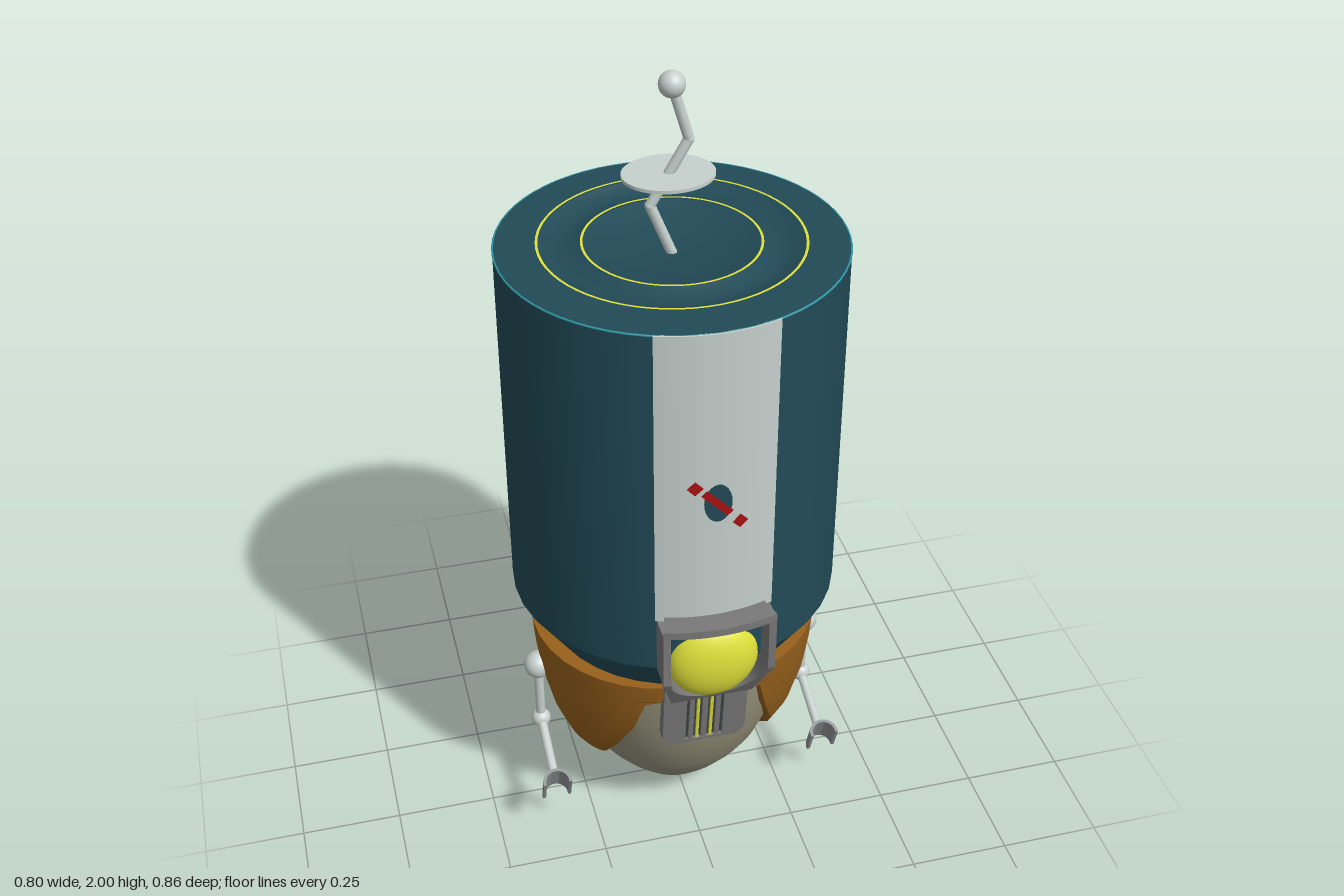
import * as THREE from 'three';
import { toCreasedNormals } from 'three/addons/utils/BufferGeometryUtils.js';

const mat = (name, color, double) => {
  const m = new THREE.MeshStandardMaterial({ color });
  m.name = name;
  if (double) m.side = THREE.DoubleSide;
  return m;
};

export function createModel() {
  const teal = mat('teal', 0x214a56), white = mat('paleGrey', 0xc6d0cd, true);
  const beige = mat('beige', 0x97937c), orange = mat('orange', 0x97611c, true);
  const grey = mat('grey', 0x79797a, true), dark = mat('darkGrey', 0x3c4244);
  const yellow = mat('yellow', 0xdfe03a), red = mat('red', 0xa81212);
  const cyan = mat('cyan', 0x2f9ba8), steel = mat('steel', 0x8c9090, true);

  const root = new THREE.Group();
  const model = new THREE.Group(); // everything sits around the hull axis
  model.name = 'capsule';
  model.position.z = -0.03;
  root.add(model);

  const add = (name, geo, material, x = 0, y = 0, z = 0, parent = model) => {
    const m = new THREE.Mesh(geo, material);
    m.name = name;
    m.position.set(x, y, z);
    parent.add(m);
    return m;
  };
  const lathe = (pts, seg = 36) =>
    toCreasedNormals(new THREE.LatheGeometry(pts.map(p => new THREE.Vector2(...p)), seg), 0.42);
  const ball = (name, r, material, x, y, z, parent) =>
    add(name, new THREE.SphereGeometry(r, 24, 16), material, x, y, z, parent);
  const rod = (name, a, b, r, material, parent) => {
    const A = new THREE.Vector3(...a), B = new THREE.Vector3(...b), d = B.clone().sub(A);
    const m = add(name, new THREE.CylinderGeometry(r, r, d.length(), 12), material, 0, 0, 0, parent);
    m.position.copy(A).add(B).multiplyScalar(0.5);
    m.quaternion.setFromUnitVectors(new THREE.Vector3(0, 1, 0), d.normalize());
  };
  // Curved plate hugging the hull at the front
  const arcBand = (r0, r1, half, y0, y1) => {
    const s = new THREE.Shape(), c = -Math.PI / 2;
    s.absarc(0, 0, r1, c - half, c + half, false);
    s.absarc(0, 0, r0, c + half, c - half, true);
    const g = new THREE.ExtrudeGeometry(s, { depth: y1 - y0, bevelEnabled: false, curveSegments: 12 });
    return toCreasedNormals(g.rotateX(-Math.PI / 2).translate(0, y0, 0), 0.4);
  };

  // Hull with shallow dished top
  add('hull', lathe([[0, 0.56], [0.32, 0.56], [0.4, 0.682], [0.4, 1.593], [0.398, 1.595], [0.3, 1.597],
    [0.275, 1.586], [0.25, 1.582], [0.225, 1.586], [0.2, 1.595], [0.16, 1.582], [0.1, 1.572], [0, 1.568]]), teal);
  add('rimLine', new THREE.TorusGeometry(0.399, 0.0025, 6, 64).rotateX(Math.PI / 2), cyan, 0, 1.593);
  for (const [name, r, y] of [['outerRing', 0.302, 1.601], ['innerRing', 0.202, 1.599]])
    add(name, new THREE.RingGeometry(r - 0.003, r + 0.003, 64).rotateX(-Math.PI / 2), yellow, 0, y);

  // Rounded lower body and nozzle
  add('lowerBody', lathe([[0.07, 0.012], [0.12, 0.05], [0.166, 0.1], [0.205, 0.15], [0.236, 0.2], [0.276, 0.3],
    [0.3, 0.4], [0.313, 0.5], [0.317, 0.57]], 40), beige);
  add('nozzleRing', lathe([[0.045, 0.04], [0.045, 0], [0.066, 0], [0.088, 0.022]], 32), white);
  add('nozzleCore', new THREE.CylinderGeometry(0.046, 0.046, 0.01, 32), teal, 0, 0.02);

  // Side shells: rows of height, body radius, front and back half-angles in degrees
  const rows = [[0.56, 0.316, 73, 65], [0.51, 0.313, 71, 60], [0.495, 0.312, 64, 58], [0.4, 0.3, 58, 48],
    [0.3, 0.276, 47, 38], [0.22, 0.245, 35, 28], [0.16, 0.212, 22, 18], [0.125, 0.188, 8, 7]];
  const shellGeometry = side => {
    const n = 16, pos = [], idx = [];
    const grid = [rows[0], ...rows, rows[rows.length - 1]];
    grid.forEach(([y, r, front, back], j) => {
      const capRow = j === 0 || j === grid.length - 1;
      for (let i = 0; i <= n + 2; i++) {
        const t = THREE.MathUtils.clamp((i - 1) / n, 0, 1) * 2 - 1;
        const a = THREE.MathUtils.degToRad(t > 0 ? t * front : t * back);
        const buried = capRow || i === 0 || i === n + 2;
        const R = buried ? r - 0.02 : r + 0.02 + 0.024 * (1 - t * t);
        pos.push(side * R * Math.cos(a), y, R * Math.sin(a));
      }
    });
    const w = n + 3;
    for (let j = 0; j < grid.length - 1; j++)
      for (let i = 0; i < w - 1; i++) {
        const a = j * w + i, b = a + 1, c = a + w, d = c + 1;
        if (side > 0) idx.push(a, b, c, b, d, c);
        else idx.push(a, c, b, b, c, d);
      }
    const g = new THREE.BufferGeometry();
    g.setAttribute('position', new THREE.Float32BufferAttribute(pos, 3));
    g.setIndex(idx);
    return toCreasedNormals(g, 0.5);
  };

  for (const s of [1, -1]) {
    const side = s > 0 ? 'left' : 'right', x = s * 0.355;
    add(side + 'Shell', shellGeometry(s), orange);
    // Arm with open claw
    const arm = new THREE.Group();
    arm.name = side + 'Arm';
    model.add(arm);
    ball('shoulder', 0.036, white, x, 0.418, 0, arm);
    rod('upperArm', [x, 0.418, 0], [x, 0.233, 0], 0.012, white, arm);
    ball('elbow', 0.025, white, x, 0.233, 0, arm);
    rod('forearm', [x, 0.233, 0], [x, 0.176, 0.16], 0.012, white, arm);
    const claw = new THREE.Group();
    claw.name = 'claw';
    claw.position.set(x, 0.165, 0.196);
    claw.rotation.x = 0.36;
    arm.add(claw);
    const c = new THREE.Shape();
    c.absarc(0, 0, 0.037, -0.15, Math.PI + 0.15, false);
    c.absarc(0, 0, 0.029, Math.PI + 0.15, -0.15, true);
    add('clawCup', toCreasedNormals(new THREE.ExtrudeGeometry(c, { depth: 0.076, bevelEnabled: false })
      .rotateX(-Math.PI / 2).translate(0, -0.038, 0), 0.5), steel, 0, 0, 0, claw);
  }

  // Front stripe with plain painted patch
  add('frontStripe', arcBand(0.39, 0.404, 0.352, 0.83, 1.595), white);
  add('patchOval', new THREE.CylinderGeometry(1, 1, 0.005, 24).rotateX(Math.PI / 2).scale(0.032, 0.05, 1), teal, 0, 1.16, 0.403);
  add('patchBar', new THREE.BoxGeometry(0.085, 0.018, 0.005), red, -0.002, 1.16, 0.404).rotation.z = -0.8;
  for (const [x, y] of [[-0.052, 1.205], [0.052, 1.1]])
    add('patchSpot', new THREE.BoxGeometry(0.026, 0.026, 0.006), red, x, y, 0.399).rotation.set(0, x / 0.4, -0.8);

  // Lamp housing: frame with arched opening, leaning back below the lamp
  const frame = new THREE.Shape();
  [[-0.135, 0.83], [-0.135, 0.68], [-0.1, 0.56], [0.1, 0.56], [0.135, 0.68], [0.135, 0.83], [0.117, 0.83], [0.117, 0.69]]
    .forEach(([x, y], i) => i ? frame.lineTo(x, y) : frame.moveTo(x, y));
  frame.absarc(0, 0.69, 0.117, 0, -Math.PI, true);
  frame.lineTo(-0.117, 0.83);
  const fg = new THREE.ExtrudeGeometry(frame, { depth: 0.09, bevelEnabled: false, curveSegments: 24 });
  const fp = fg.attributes.position;
  for (let i = 0; i < fp.count; i++)
    fp.setZ(i, fp.getZ(i) + 0.35 - 0.065 * THREE.MathUtils.clamp((0.68 - fp.getY(i)) / 0.12, 0, 1));
  add('lampHousing', toCreasedNormals(fg, 0.4), grey);
  add('lampHood', arcBand(0.38, 0.459, 0.3, 0.822, 0.842), grey);
  ball('lamp', 0.11, yellow, 0, 0.69, 0.378).scale.z = 0.5;

  // Grille below the lamp, nearly flush with the body
  const grille = new THREE.Group();
  grille.name = 'grille';
  grille.position.set(0, 0.465, 0.306);
  grille.rotation.x = 0.13;
  model.add(grille);
  const plate = new THREE.Shape();
  [[-0.105, 0.11], [-0.105, -0.085], [-0.085, -0.11], [0.085, -0.11], [0.105, -0.085], [0.105, 0.11]]
    .forEach(([x, y], i) => i ? plate.lineTo(x, y) : plate.moveTo(x, y));
  const slot = new THREE.Path();
  [[-0.047, -0.1], [0.047, -0.1], [0.047, 0.1], [-0.047, 0.1]]
    .forEach(([x, y], i) => i ? slot.lineTo(x, y) : slot.moveTo(x, y));
  plate.holes.push(slot);
  add('grillePlate', new THREE.ExtrudeGeometry(plate, { depth: 0.05, bevelEnabled: false }), grey, 0, 0, -0.036, grille);
  add('grilleBack', new THREE.BoxGeometry(0.094, 0.2, 0.02), dark, 0, 0, -0.004, grille);
  for (const [x, w, m] of [[-0.033, 0.012, grey], [-0.017, 0.007, yellow], [0, 0.014, grey], [0.017, 0.007, yellow], [0.033, 0.012, grey]])
    add('grilleBar', new THREE.BoxGeometry(w, 0.2, 0.008), m, x, 0, 0.009, grille);

  // Bent antenna with disc and ball
  const bend = [[0, 1.565, 0], [-0.05, 1.69, 0], [0.038, 1.84, 0], [0, 1.97, 0]];
  for (let i = 0; i < 3; i++) {
    rod('antennaRod', bend[i], bend[i + 1], 0.012, white);
    if (i) ball('antennaJoint', 0.0122, white, ...bend[i]);
  }
  ball('antennaTip', 0.03, white, ...bend[3]);
  add('antennaDisc', new THREE.CylinderGeometry(1, 1, 0.008, 40).scale(0.105, 1, 0.088), white, -0.008, 1.762);
  return root;
}
